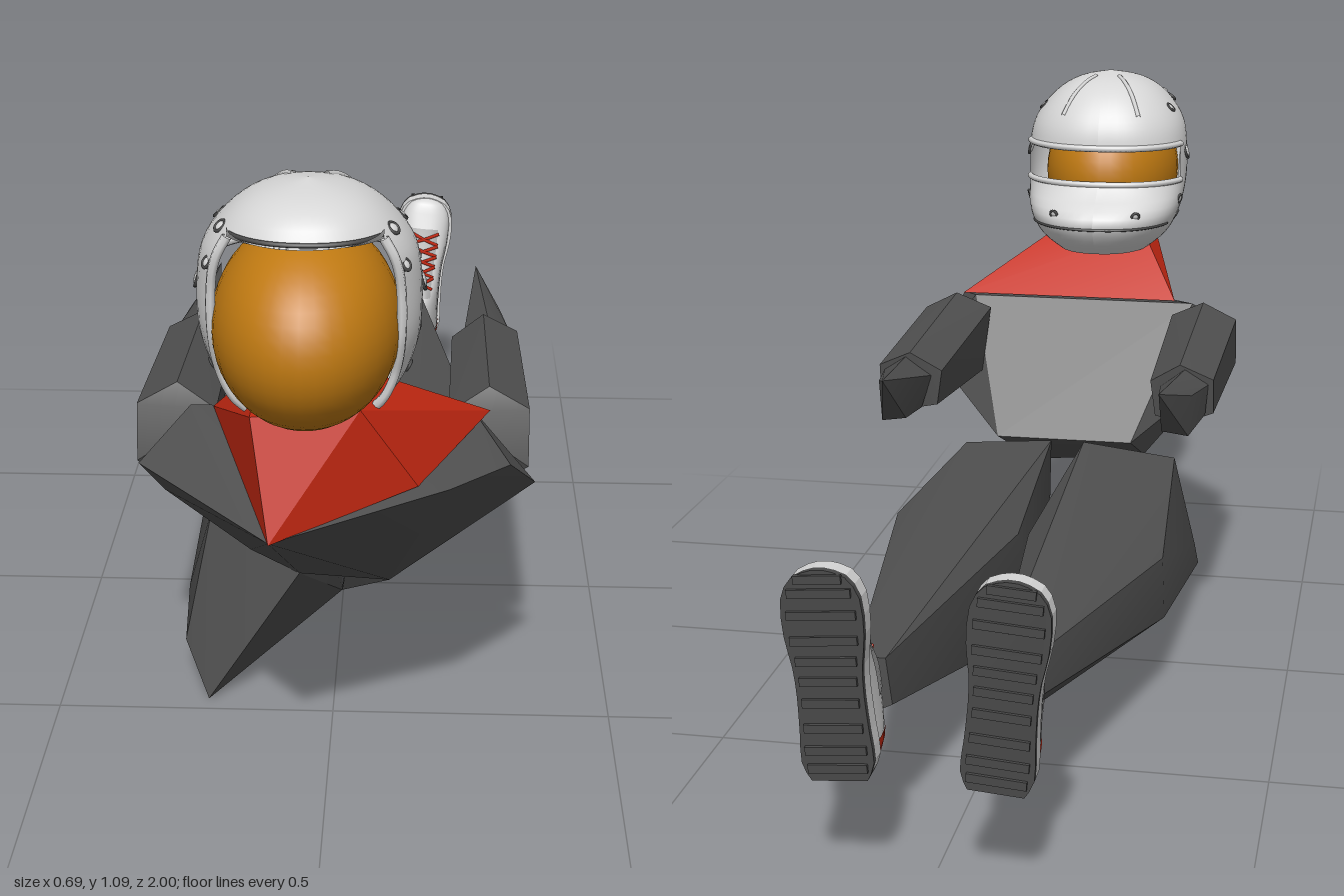
import * as THREE from 'three';
import { toCreasedNormals } from 'three/addons/utils/BufferGeometryUtils.js';
import { ConvexGeometry } from 'three/addons/geometries/ConvexGeometry.js';

const V = (x, y, z) => new THREE.Vector3(x, y, z);
const paint = (name, color) => {
  const m = new THREE.MeshStandardMaterial({ color, side: THREE.DoubleSide });
  m.name = name;
  return m;
};
const suit = paint('suitGrey', 0x505050);
const white = paint('shellWhite', 0xd6d6d6);
const amber = paint('amber', 0xc07a12);
const red = paint('red', 0xc42812);
const dark = paint('darkTrim', 0x484848);
const grey = paint('shoeGrey', 0xa4a4a4);

function add(parent, name, geo, mat) {
  const m = new THREE.Mesh(geo, mat);
  m.name = name;
  parent.add(m);
  return m;
}

// Faceted solid from a few corner points
const hull = (parent, name, mat, pts) =>
  add(parent, name, toCreasedNormals(new ConvexGeometry(pts.map(p => V(...p))), 0.5), mat);

// Surface over a grid of P(u, v), u and v in 0..1, leaving out cells where keep is false
function grid(P, nu, nv, keep = () => true) {
  const pos = [], idx = [];
  for (let i = 0; i <= nu; i++) for (let j = 0; j <= nv; j++) pos.push(...P(i / nu, j / nv).toArray());
  for (let i = 0; i < nu; i++) for (let j = 0; j < nv; j++) {
    if (!keep((i + 0.5) / nu, (j + 0.5) / nv)) continue;
    const a = i * (nv + 1) + j, b = a + nv + 1;
    idx.push(a, b, a + 1, b, b + 1, a + 1);
  }
  const g = new THREE.BufferGeometry();
  g.setAttribute('position', new THREE.Float32BufferAttribute(pos, 3));
  g.setIndex(idx);
  g.computeVertexNormals();
  return g;
}

// Smooth interpolation of column k of a profile table, t in 0..1
const sampler = table => {
  const curves = table[0].map((_, k) => new THREE.SplineCurve(table.map((r, i) => new THREE.Vector2(i, r[k]))));
  return (t, k) => curves[k].getPoint(t).y;
};
const spow = (v, p) => Math.sign(v) * Math.abs(v) ** p;

function buildHelmet() {
  const g = new THREE.Group();
  g.name = 'helmet';
  // height, half width, front z, rear z
  const s = sampler([
    [0.715, 0.10, 0.56, 0.84], [0.75, 0.14, 0.52, 0.87], [0.80, 0.165, 0.505, 0.885],
    [0.865, 0.175, 0.575, 0.895], [0.945, 0.174, 0.57, 0.905], [1.0, 0.16, 0.585, 0.91],
    [1.05, 0.12, 0.625, 0.89], [1.08, 0.07, 0.68, 0.84], [1.095, 0, 0.76, 0.76]]);
  const P = (t, a, out = 1) => {
    const mid = (s(t, 2) + s(t, 3)) / 2, half = (s(t, 3) - s(t, 2)) / 2;
    return V(-0.023 + out * s(t, 1) * spow(Math.sin(a), 0.9), s(t, 0), mid - out * half * spow(Math.cos(a), 0.9));
  };
  const deg = Math.PI / 180;
  // Shell with an eye port at -z and a large opening at +z
  add(g, 'helmetShell', grid((u, v) => P(u, v * 2 * Math.PI), 32, 60, (u, v) => {
    const t = u * 8, a = Math.abs(v * 360 - 180);
    const eye = t > 3 && t < 4 && a > 108;
    const rear = t < 5.5 && a < 54;
    return !eye && !rear;
  }), white);

  const tube = (name, pts, r, mat) =>
    add(g, name, new THREE.TubeGeometry(new THREE.CatmullRomCurve3(pts), 40, r, 6), mat);
  const arc = (t, from, to, out) =>
    Array.from({ length: 21 }, (_, i) => P(t / 8, (from + (to - from) * i / 20) * deg, out));
  tube('upperEyeRim', arc(4, -74, 74, 1.0), 0.007, white);
  tube('lowerEyeRim', arc(3, -74, 74, 1.0), 0.007, white);
  tube('chinSeam', arc(1.6, -70, 70, 1.0), 0.003, dark);
  tube('rearSeam', arc(5.6, 126, 234, 1.0), 0.004, dark);
  for (const side of [-1, 1]) {
    tube('rearRim', Array.from({ length: 12 }, (_, i) => P(i / 11 * 5.5 / 8, side * 126 * deg)), 0.008, white);
    // Visor pivot and small fasteners
    [[3.7, 88, 0.016], [2.4, 80, 0.009], [1.6, 100, 0.009], [5.4, 75, 0.01], [5.6, 110, 0.01], [4.6, 118, 0.009], [2.1, 30, 0.008]].forEach(([t, a, r]) => {
      const p = P(t / 8, side * a * deg);
      const ring = add(g, 'fastener', new THREE.TorusGeometry(r, 0.003, 6, 14), dark);
      const cap = add(g, 'fastenerCap', new THREE.SphereGeometry(r * 0.9, 12, 8), white);
      cap.scale.z = 0.4;
      for (const m of [ring, cap]) {
        m.position.copy(p);
        m.lookAt(p.clone().multiplyScalar(2).sub(V(-0.023, 0.87, 0.73)));
      }
    });
    // Crown ridge
    tube('crownRidge', [5.2, 6, 6.8, 7.3].map(t => P(t / 8, side * 30 * deg)), 0.005, white);
  }
  // Rear lip
  add(g, 'rearSpoiler', grid((u, v) => {
    const p = P(5.5 / 8, (126 + 108 * v) * deg);
    p.z += u * 0.05 * Math.sin(Math.PI * v) ** 0.5;
    p.y += u * 0.015;
    return p;
  }, 2, 24), white);
  const head = add(g, 'head', new THREE.SphereGeometry(1, 36, 24), amber);
  head.scale.set(0.147, 0.16, 0.211);
  head.position.set(-0.025, 0.872, 0.789);
  return g;
}

function buildShoe(side) {
  const g = new THREE.Group();
  g.name = 'shoe';
  // height, half width, instep z
  const s = sampler([
    [0.19, 0.040, -0.89], [0.22, 0.052, -0.84], [0.27, 0.05, -0.815], [0.33, 0.048, -0.815],
    [0.38, 0.05, -0.865], [0.43, 0.057, -0.895], [0.49, 0.056, -0.92], [0.525, 0.038, -0.935], [0.537, 0.008, -0.955]]);
  const P = (u, a, out = 1) => V(out * s(u, 1) * spow(Math.sin(a), 0.8), s(u, 0),
    -0.965 + (s(u, 2) + 0.965) * out * Math.abs(Math.cos(a)) ** 0.7);
  const A = v => (v - 0.5) * Math.PI;
  add(g, 'shoeUpper', grid((u, v) => P(u, A(v)), 24, 20), white);
  add(g, 'heelAccent', grid((u, v) => P(u, A(v), 1.03), 24, 20,
    (u, v) => u < 0.18 && Math.abs(v - 0.5) > 0.3), red);
  add(g, 'sidePanel', grid((u, v) => P(u, A(v), 1.025), 24, 20,
    (u, v) => u > 0.3 && u < 0.62 && Math.abs(v - 0.5) > 0.3 && Math.abs(v - 0.5) < 0.42), grey);
  add(g, 'tongue', grid((u, v) => P(u, A(v), 1.02), 24, 20,
    (u, v) => u > 0.36 && u < 0.72 && Math.abs(v - 0.5) < 0.15), grey);

  // Sole layers share one outline
  const edge = [];
  for (let i = 0; i <= 16; i++) edge.push(new THREE.Vector2(s(i / 16, 1) * 1.12, s(i / 16, 0)));
  const outline = new THREE.Shape([...edge, ...edge.map(p => new THREE.Vector2(-p.x, p.y)).reverse()]);
  const layer = (name, z, depth, mat) =>
    add(g, name, new THREE.ExtrudeGeometry(outline, { depth, bevelEnabled: false }), mat).position.z = z;
  layer('midsole', -0.982, 0.03, white);
  layer('outsole', -0.994, 0.012, dark);
  for (let i = 0; i < 10; i++) {
    const u = 0.1 + i * 0.085;
    add(g, 'tread', new THREE.BoxGeometry(s(u, 1) * 1.9, 0.014, 0.008), dark).position.set(0, s(u, 0), -0.996);
  }
  // Crossed laces
  for (let i = 0; i < 5; i++) for (const d of [-1, 1]) {
    const lace = [P(0.42 + i * 0.055, -0.5 * d, 1.05), P(0.445 + i * 0.055, 0, 1.06), P(0.47 + i * 0.055, 0.5 * d, 1.05)];
    add(g, 'lace', new THREE.TubeGeometry(new THREE.CatmullRomCurve3(lace), 8, 0.004, 5), red);
  }
  // Toes turn slightly outward
  const pivot = new THREE.Group();
  pivot.name = 'foot';
  g.position.y = -0.36;
  pivot.add(g);
  pivot.position.set(0.01 + side * 0.137, 0.36, 0);
  pivot.rotation.z = -side * 0.08;
  return pivot;
}

// Sleeve and tapered glove
function buildArm(parent, side) {
  const m = pts => pts.map(([x, y, z]) => [side * x, y, z]);
  hull(parent, 'sleeve', suit, m([
    [0.20, 0.60, 0.50], [0.27, 0.637, 0.47], [0.34, 0.60, 0.48], [0.34, 0.50, 0.50], [0.29, 0.455, 0.47], [0.21, 0.47, 0.45],
    [0.21, 0.57, 0.06], [0.27, 0.61, 0.04], [0.335, 0.58, 0.05], [0.335, 0.51, 0.06], [0.28, 0.488, 0.06], [0.22, 0.50, 0.06]]));
  hull(parent, 'glove', suit, m([
    [0.23, 0.56, 0.06], [0.28, 0.60, 0.05], [0.325, 0.57, 0.05], [0.32, 0.51, 0.05], [0.25, 0.495, 0.05],
    [0.30, 0.50, -0.07], [0.25, 0.51, -0.08], [0.305, 0.58, -0.07], [0.26, 0.62, -0.215]]));
}

export function createModel() {
  const model = new THREE.Group();
  model.name = 'seatedDriver';
  model.add(buildHelmet());

  hull(model, 'torso', suit, [
    [-0.08, 0.552, 0.915], [0.14, 0.59, 0.83], [0.20, 0.60, 0.81], [0.30, 0.59, 0.69], [0.35, 0.49, 0.54],
    [0.24, 0.62, 0.53], [-0.24, 0.62, 0.53], [-0.18, 0.56, 0.77], [-0.32, 0.55, 0.62], [-0.29, 0.46, 0.53],
    [0.10, 0.265, 0.48], [-0.06, 0.275, 0.48], [-0.15, 0.30, 0.44], [-0.13, 0.345, 0.37], [0.16, 0.345, 0.37]]);
  hull(model, 'collar', red, [
    [-0.08, 0.55, 0.918], [0.15, 0.60, 0.80], [0.14, 0.60, 0.66], [0.27, 0.622, 0.54], [-0.20, 0.622, 0.54], [-0.13, 0.60, 0.75],
    [-0.11, 0.74, 0.86], [0.06, 0.75, 0.85], [0.08, 0.75, 0.70], [-0.11, 0.75, 0.68]]);

  // Legs, the right one carrying the low seat corner
  hull(model, 'leftLeg', suit, [
    [0.09, 0.25, -0.83], [0.13, 0.23, -0.83], [0.165, 0.27, -0.83], [0.15, 0.33, -0.83], [0.10, 0.33, -0.83],
    [0.30, 0.19, -0.06], [0.28, 0.30, -0.04], [0.02, 0.30, -0.12], [0.15, 0.32, -0.06], [0.0, 0.035, 0.09],
    [0.04, 0.345, 0.36], [0.22, 0.34, 0.33], [0.10, 0.265, 0.48]]);
  hull(model, 'rightLeg', suit, [
    [-0.07, 0.25, -0.83], [-0.10, 0.23, -0.83], [-0.135, 0.27, -0.83], [-0.12, 0.33, -0.83], [-0.08, 0.33, -0.83],
    [-0.27, 0.16, -0.15], [-0.265, 0.28, -0.15], [0.0, 0.30, -0.12], [-0.14, 0.315, -0.08], [0.0, 0.035, 0.09],
    [-0.23, 0.005, 0.465], [-0.28, 0.08, 0.38], [-0.28, 0.15, 0.30], [-0.23, 0.33, 0.33], [-0.03, 0.345, 0.36], [-0.06, 0.275, 0.48]]);
  hull(model, 'thighStripe', red, [
    [-0.02, 0.308, -0.125], [-0.24, 0.296, -0.118], [-0.24, 0.296, -0.132], [-0.13, 0.318, -0.13], [-0.13, 0.316, -0.122]]);

  for (const side of [-1, 1]) {
    buildArm(model, side);
    model.add(buildShoe(side));
  }
  return model;
}
